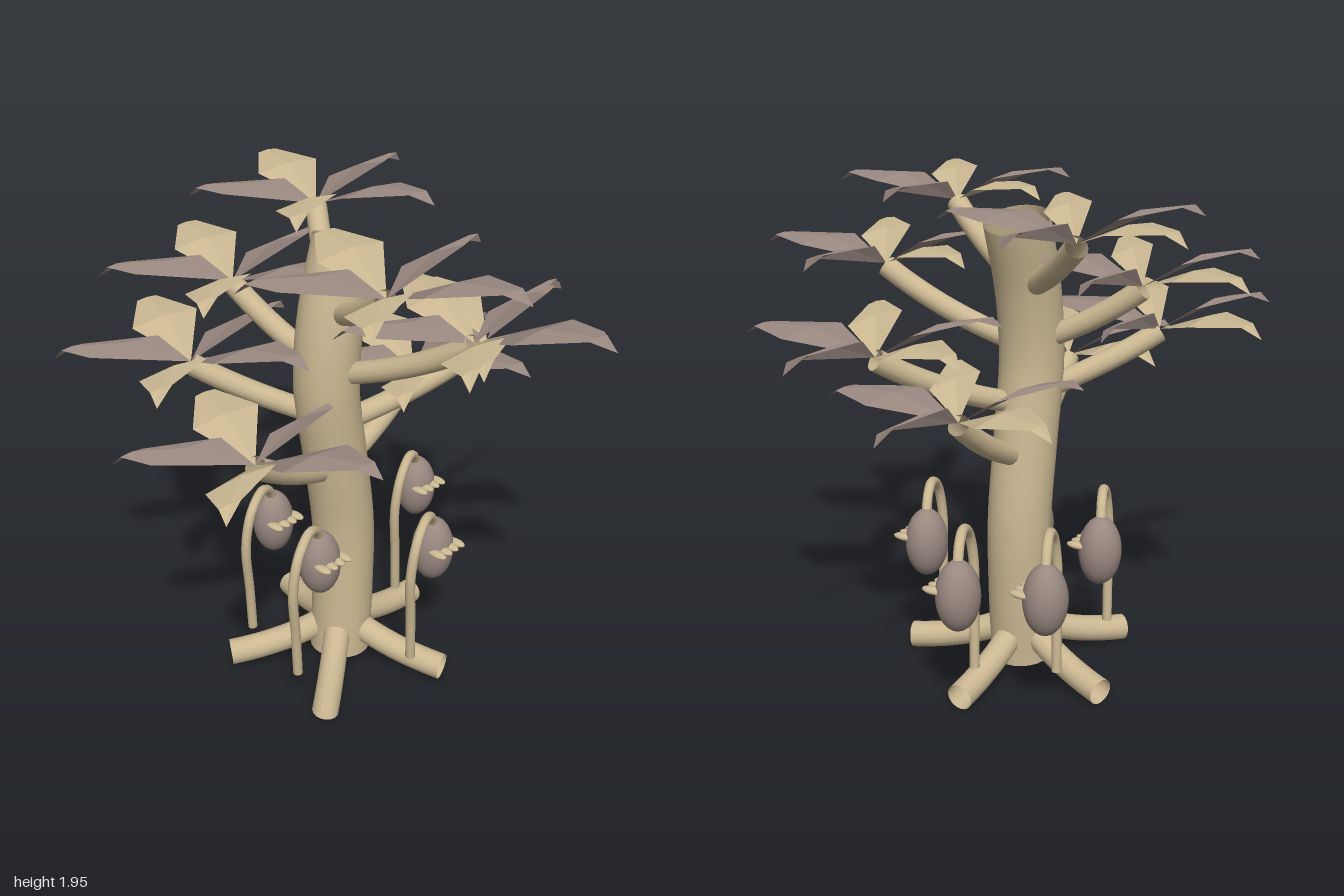
import * as THREE from 'three';

const tan = new THREE.MeshStandardMaterial({ color: 0xcbb892, side: THREE.DoubleSide });
tan.name = 'tanBark';
const brown = new THREE.MeshStandardMaterial({ color: 0x998880, side: THREE.DoubleSide });
brown.name = 'greyBrown';

const V = (x, y, z) => new THREE.Vector3(x, y, z);

function add(parent, name, geometry, material) {
  const mesh = new THREE.Mesh(geometry, material);
  mesh.name = name;
  parent.add(mesh);
  return mesh;
}

function tube(parent, name, curve, radius, segments, sides) {
  return add(parent, name, new THREE.TubeGeometry(curve, segments, radius, sides), tan);
}

// Folded diamond leaf: every leaf widens along the same sideways direction
function leafGeometry(angle) {
  const across = V(0.148, 0, 0.016);
  const sections = [[0, 0, 0], [0.48, 0.085, 1], [0.86, 0.1, 0.3], [1, 0.06, 0]]
    .map(([t, y, w]) => {
      const mid = V(Math.cos(angle) * 0.5 * t, y, Math.sin(angle) * 0.5 * t);
      const left = mid.clone().addScaledVector(across, -w);
      const right = mid.clone().addScaledVector(across, w);
      mid.y += 0.015 * w;
      return [left, mid, right];
    });
  const points = [];
  for (let i = 0; i < sections.length - 1; i++) {
    for (let j = 0; j < 2; j++) {
      const a = sections[i][j], b = sections[i][j + 1];
      const c = sections[i + 1][j], d = sections[i + 1][j + 1];
      if (a.distanceTo(b) > 1e-6) points.push(a, b, d);
      if (c.distanceTo(d) > 1e-6) points.push(a, d, c);
    }
  }
  const geometry = new THREE.BufferGeometry().setFromPoints(points);
  geometry.computeVertexNormals();
  return geometry;
}

export function createModel() {
  const model = new THREE.Group();
  model.name = 'tree';
  const trunkZ = -0.09;

  // Trunk
  const trunkPoints = [
    [-0.04, 0.05], [-0.02, 0.35], [-0.015, 0.65], [-0.06, 1.0],
    [-0.1, 1.3], [-0.07, 1.58], [0.015, 1.86],
  ].map(([x, y]) => V(x, y, trunkZ));
  const trunkCurve = new THREE.CatmullRomCurve3(trunkPoints);
  tube(model, 'trunk', trunkCurve, 0.127, 40, 24);

  const trunkX = (y) => {
    let i = 0;
    while (i < trunkPoints.length - 2 && trunkPoints[i + 1].y < y) i++;
    const a = trunkPoints[i], b = trunkPoints[i + 1];
    return THREE.MathUtils.mapLinear(y, a.y, b.y, a.x, b.x);
  };

  // Five roots
  for (let i = 0; i < 5; i++) {
    const angle = (i * Math.PI * 2) / 5;
    const at = (r, y) => V(-0.04 + r * Math.cos(angle), y, trunkZ + r * Math.sin(angle));
    const curve = new THREE.QuadraticBezierCurve3(at(0.08, 0.17), at(0.24, 0.085), at(0.47, 0.063));
    tube(model, 'root', curve, 0.054, 14, 16);
  }

  // Branches, each ending in five leaves: tip x, y, z and base height
  const branches = [
    [0.415, 1.19, -0.09, 0.94], [-0.565, 1.19, 0, 0.95],
    [0.475, 1.4, 0.23, 1.15], [-0.435, 1.4, -0.475, 1.19],
    [0.013, 1.63, 0.515, 1.38], [-0.16, 1.63, -0.525, 1.4],
    [-0.29, 1.85, 0.375, 1.62], [0.245, 1.85, -0.465, 1.62],
  ];
  const leaves = [0, 1, 2, 3, 4].map((i) => leafGeometry((i * Math.PI * 2) / 5));
  const leafColours = [brown, brown, tan, brown, tan];
  for (const [x, y, z, baseY] of branches) {
    const tip = V(x, y - 0.01, z);
    const core = V(trunkX(baseY), baseY, trunkZ);
    const base = core.clone().lerp(tip, 0.16).setY(baseY);
    const bend = base.clone().lerp(tip, 0.55).setY(baseY + 0.085);
    tube(model, 'branch', new THREE.QuadraticBezierCurve3(base, bend, tip), 0.043, 14, 14);
    const cluster = new THREE.Group();
    cluster.name = 'leafCluster';
    cluster.position.set(x, y, z);
    leaves.forEach((leaf, i) => add(cluster, 'leaf', leaf, leafColours[i]));
    model.add(cluster);
  }

  // Hanging pods on hooked stems around the trunk
  const stemCurve = new THREE.CatmullRomCurve3([
    V(0, 0.145, 0), V(-0.015, 0.35, 0.01), V(-0.037, 0.58, 0.025), V(0, 0.715, 0.022),
    V(0.09, 0.768, -0.01), V(0.16, 0.735, -0.04), V(0.2, 0.67, -0.06),
  ]);
  const stems = [[0.32, -0.09], [-0.01, 0.28], [-0.395, 0.01], [-0.305, -0.35], [0.18, -0.38]];
  const ball = new THREE.SphereGeometry(1, 24, 16);
  for (const [x, z] of stems) {
    const plant = new THREE.Group();
    plant.name = 'podPlant';
    plant.position.set(x, 0, z);
    tube(plant, 'podStem', stemCurve, 0.02, 32, 10);
    const pod = add(plant, 'pod', ball, brown);
    pod.position.set(0.2, 0.56, -0.06);
    pod.scale.set(0.088, 0.142, 0.085);
    // Row of four blunt teeth across the pod's front
    for (let i = 0; i < 4; i++) {
      const tooth = add(plant, 'tooth', ball, tan);
      tooth.position.set(0.2 + (i - 1.5) * 0.04, 0.587, 0.012);
      tooth.scale.set(0.021, 0.014, 0.045);
    }
    model.add(plant);
  }
  return model;
}
